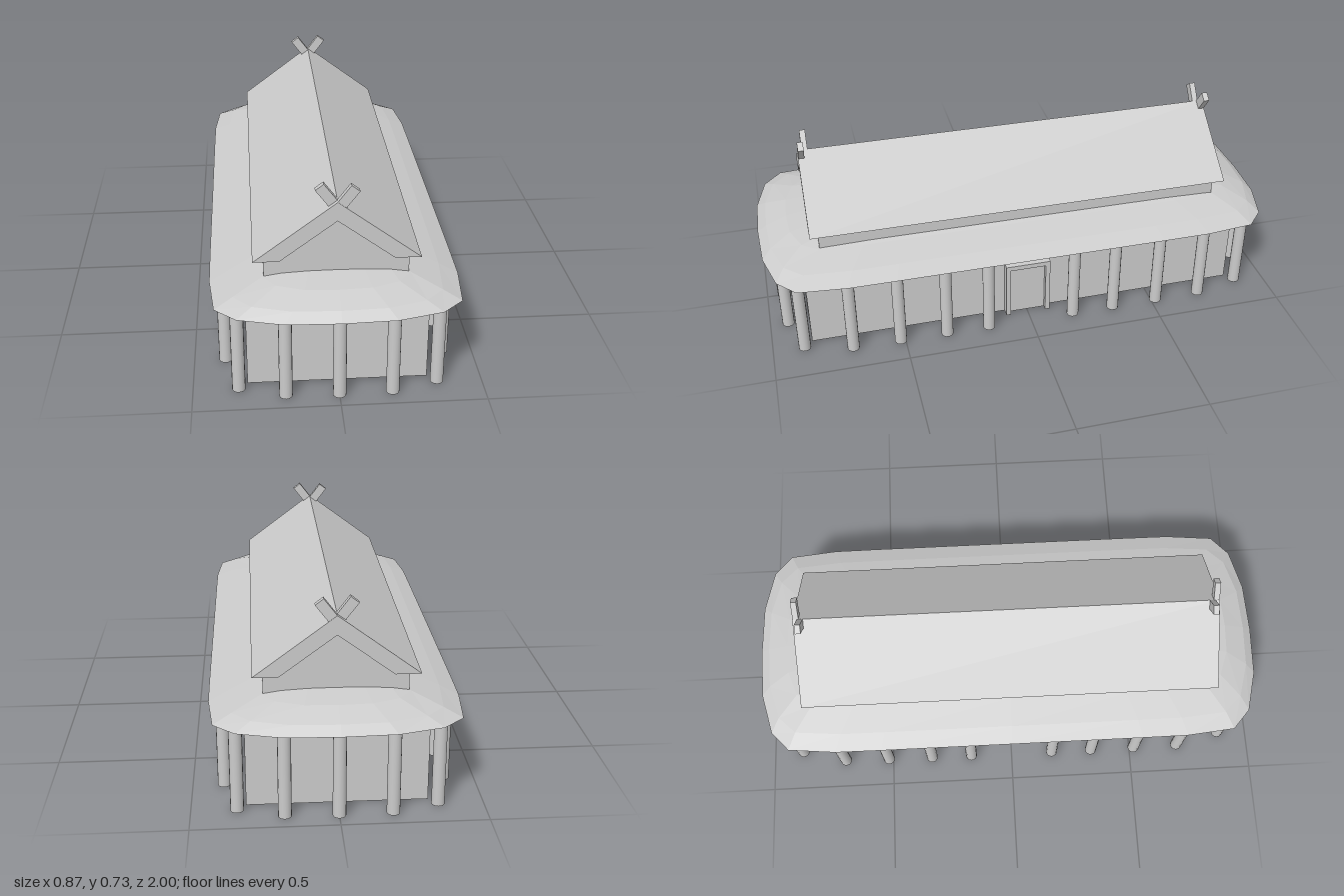
import * as THREE from 'three';

const solid = new THREE.MeshStandardMaterial({ color: 0xcccccc });
const sheet = new THREE.MeshStandardMaterial({ color: 0xcccccc, side: THREE.DoubleSide, flatShading: true });

const polygon = (pts) => new THREE.Shape(pts.map(([x, y]) => new THREE.Vector2(x, y)));

// Extrude a shape along z, centred on z = 0
function extrudeCentred(shape, depth) {
  return new THREE.ExtrudeGeometry(shape, { depth, bevelEnabled: false }).translate(0, 0, -depth / 2);
}

// Closed loop from a quarter outline running from the +x side to the +z end
function mirrorQuarter(q) {
  const half = [...q, ...q.slice(0, -1).reverse().map(([x, z]) => [-x, z])];
  return [...half, ...half.slice(1, -1).reverse().map(([x, z]) => [x, -z])];
}

// Faceted sheet through a stack of rings, outer ring first
function ringSheet(rings) {
  const pos = [];
  for (let r = 0; r < rings.length - 1; r++) {
    const outer = rings[r], inner = rings[r + 1], n = outer.length;
    for (let i = 0; i < n; i++) {
      const j = (i + 1) % n;
      pos.push(...outer[i], ...inner[i], ...outer[j], ...inner[i], ...inner[j], ...outer[j]);
    }
  }
  const g = new THREE.BufferGeometry();
  g.setAttribute('position', new THREE.Float32BufferAttribute(pos, 3));
  g.computeVertexNormals();
  return g;
}

export function createModel() {
  const group = new THREE.Group();
  const add = (name, geometry, material = solid, parent = group) => {
    const mesh = new THREE.Mesh(geometry, material);
    mesh.name = name;
    parent.add(mesh);
    return mesh;
  };

  // Hall walls: open box without floor or ceiling
  const rect = (x, z, y) => [[x, y, z], [-x, y, z], [-x, y, -z], [x, y, -z]];
  add('hallWalls', ringSheet([rect(0.313, 0.85, 0), rect(0.313, 0.85, 0.348)]), sheet);

  // Skirt roof: rounded outline shrinking as it rises
  const outline = mirrorQuarter([
    [0.436, 0], [0.436, 0.52], [0.435, 0.7], [0.417, 0.885], [0.343, 0.953], [0.187, 0.993], [0, 1],
  ]);
  const levels = [[0.436, 1, 0.322], [0.37, 0.965, 0.35], [0.265, 0.885, 0.382], [0.2, 0.72, 0.408]];
  add('skirtRoof', ringSheet(levels.map(([hx, hz, y]) =>
    outline.map(([x, z]) => [x * hx / 0.436, y, z * hz]))), sheet);

  // Posts under the eave
  const posts = new THREE.Group();
  posts.name = 'posts';
  group.add(posts);
  const postGeometry = new THREE.CylinderGeometry(0.023, 0.023, 0.33, 16).translate(0, 0.165, 0);
  const postLine = mirrorQuarter([
    [0.393, 0.17], [0.393, 0.336], [0.392, 0.518], [0.389, 0.7], [0.343, 0.88], [0.183, 0.93], [0, 0.936],
  ]);
  // the loop leaves out its last point on the +x side, so add it
  for (const [x, z] of [...postLine, [0.393, -0.17], [-0.393, -0.17]]) {
    if (posts.children.some((p) => p.position.x === x && p.position.z === z)) continue;
    add('post', postGeometry, solid, posts).position.set(x, 0, z);
  }

  // Upper walls: side strips and gable ends
  const gable = polygon([[-0.248, 0.38], [0.248, 0.38], [0.248, 0.455], [0.195, 0.455], [0, 0.6],
    [-0.195, 0.455], [-0.248, 0.455]]);
  for (const s of [1, -1]) {
    const end = add('gableWall', new THREE.ShapeGeometry(gable), sheet);
    end.position.z = 0.78 * s;
    if (s < 0) end.rotation.y = Math.PI;
    const side = add('upperSideWall', new THREE.PlaneGeometry(1.56, 0.075), sheet);
    side.position.set(0.248 * s, 0.4175, 0);
    side.rotation.y = s * Math.PI / 2;
  }

  // Main gabled roof: one thick chevron
  add('gableRoof', extrudeCentred(polygon([[-0.285, 0.455], [-0.195, 0.455], [0, 0.6],
    [0.195, 0.455], [0.285, 0.455], [0, 0.668]]), 1.625));

  // Crossed finials at both ends of the ridge
  for (const end of [1, -1]) {
    for (const s of [1, -1]) {
      const arm = add('ridgeFinial', new THREE.BoxGeometry(0.036, 0.1, 0.022));
      arm.position.set(0.029 * s, 0.676, end * (s > 0 ? 0.8 : 0.784));
      arm.rotation.z = -s * 0.652;
    }
  }

  // Doorway on the left side: frame with a recessed panel
  const door = new THREE.Group();
  door.name = 'doorway';
  door.position.x = 0.3;
  door.rotation.y = Math.PI / 2;
  group.add(door);
  add('doorFrame', extrudeCentred(polygon([[-0.088, 0], [-0.07, 0], [-0.07, 0.216], [0.07, 0.216],
    [0.07, 0], [0.088, 0], [0.088, 0.235], [-0.088, 0.235]]), 0.09), solid, door);
  add('doorPanel', new THREE.BoxGeometry(0.14, 0.216, 0.07).translate(0, 0.108, -0.01), solid, door);

  return group;
}
